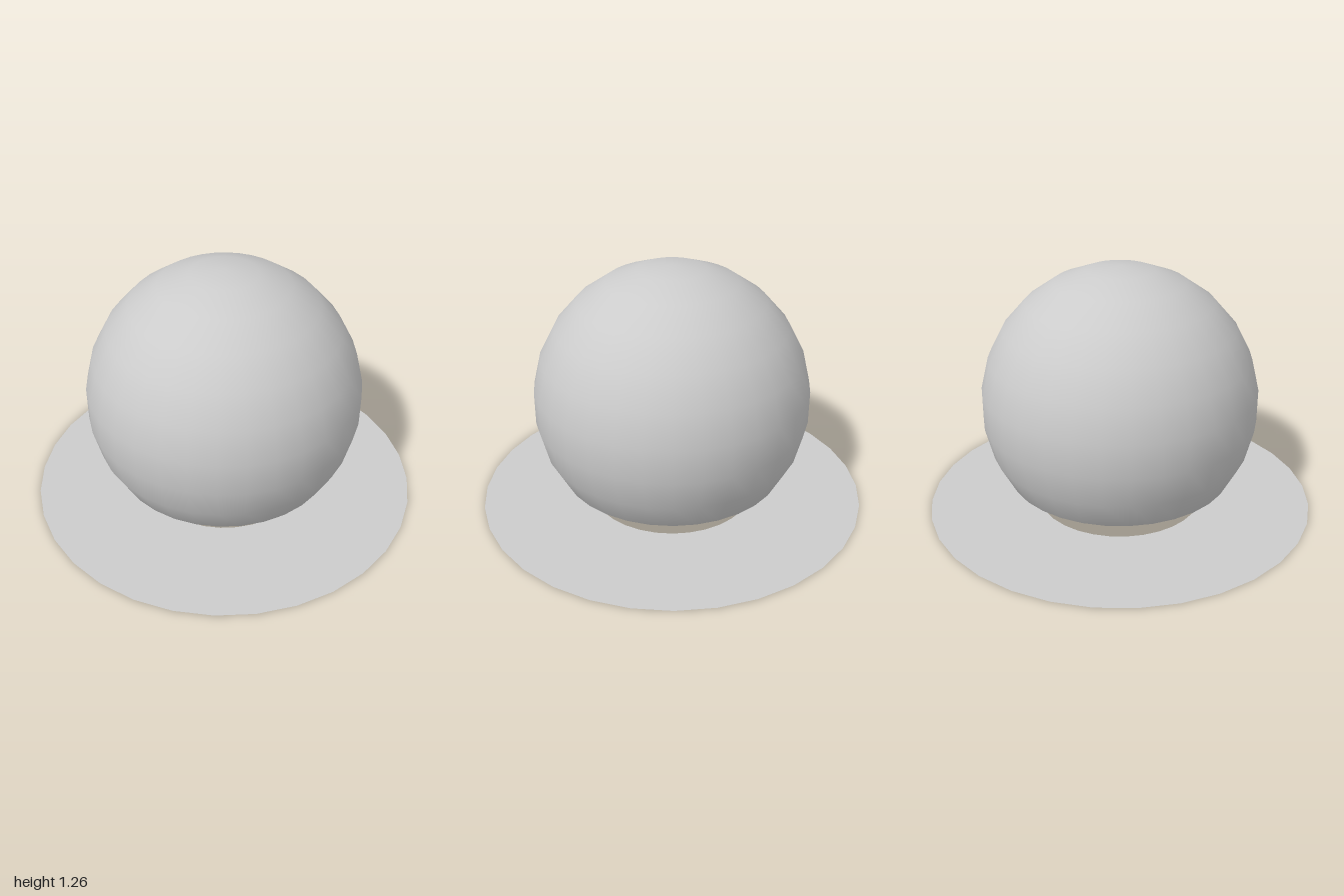
import * as THREE from 'three';

export function createModel() {
  const group = new THREE.Group();
  const material = new THREE.MeshStandardMaterial({ color: 0xcccccc, side: THREE.DoubleSide });

  // Open dome: a sphere cut off below its equator
  const dome = new THREE.Mesh(
    new THREE.SphereGeometry(0.706, 32, 9, 0, Math.PI * 2, 0, THREE.MathUtils.degToRad(125)),
    material
  );
  dome.name = 'dome';
  dome.position.y = 0.559;
  group.add(dome);

  // Flat ring lying on the ground beneath the dome
  const ring = new THREE.Mesh(new THREE.RingGeometry(0.43, 1, 32), material);
  ring.name = 'baseRing';
  ring.rotation.x = -Math.PI / 2;
  group.add(ring);

  return group;
}
